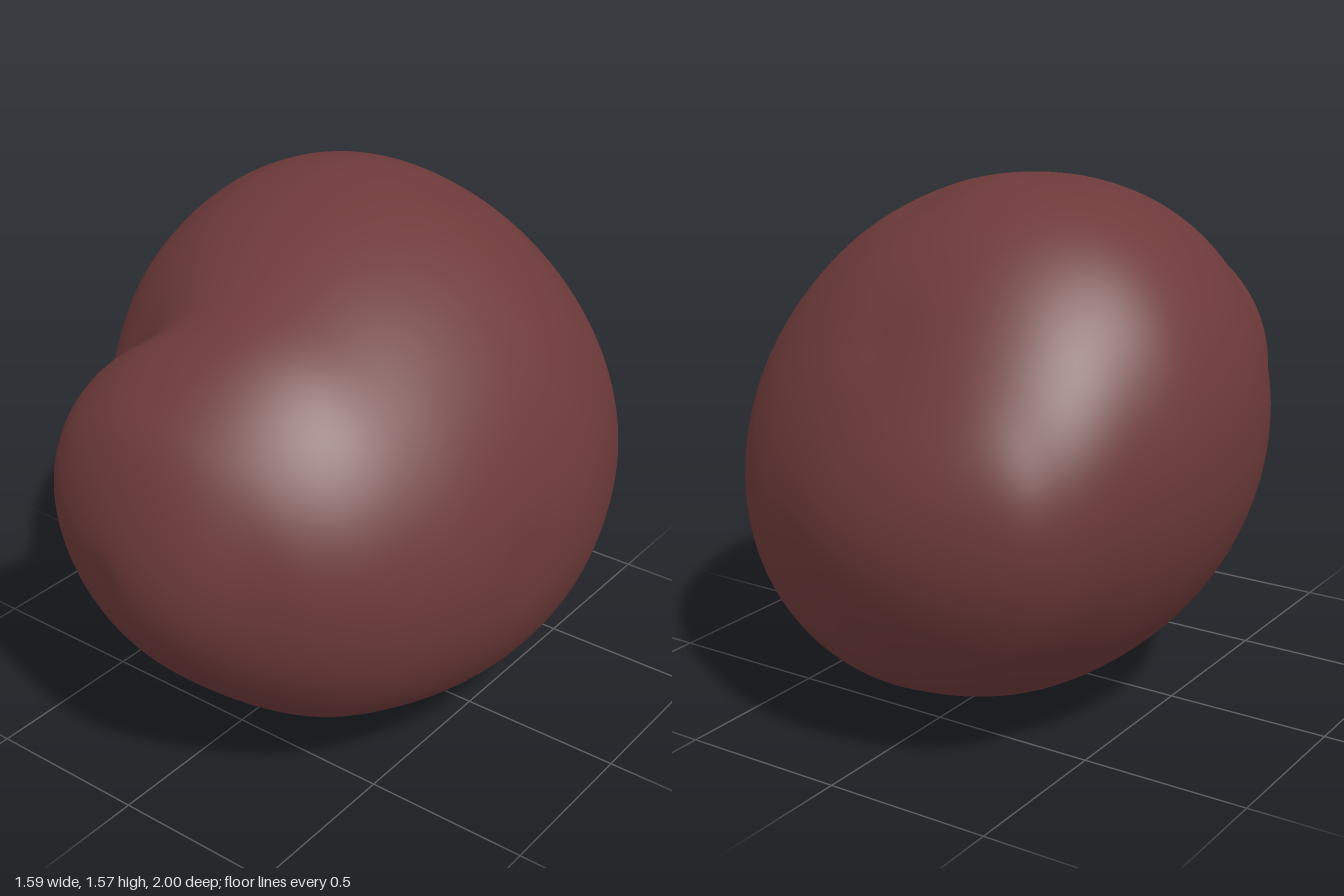
import * as THREE from 'three';
import { mergeVertices } from 'three/addons/utils/BufferGeometryUtils.js';

// Sections along z: z, centre x, centre y, fullness in x, fullness in y
const SECTIONS = [
  [-1, -0.15, 0.73, 0.82, 0.69],
  [-0.9, -0.15, 0.725, 0.85, 0.71],
  [-0.8, -0.10, 0.727, 0.865, 0.77],
  [-0.6, -0.05, 0.77, 0.84, 0.80],
  [-0.4, -0.03, 0.787, 0.82, 0.81],
  [-0.2, -0.01, 0.79, 0.803, 0.796],
  [0, 0.01, 0.783, 0.78, 0.773],
  [0.2, 0.04, 0.78, 0.753, 0.745],
  [0.4, 0.08, 0.78, 0.72, 0.72],
  [0.6, 0.105, 0.785, 0.694, 0.72],
  [0.8, 0.055, 0.795, 0.758, 0.725],
  [0.9, 0.035, 0.795, 0.768, 0.74],
  [1, 0.07, 0.77, 0.77, 0.71],
];

// Shallow dimples: x, y, z, radius, depth
const DIMPLES = [
  [0.16, 1.5, -0.36, 0.11, 0.015],
  [-0.03, 1.2, -0.79, 0.13, 0.015],
  [0.78, 0.7, 0.15, 0.12, 0.012],
  [-0.07, 0.73, 0.98, 0.08, 0.01],
  [-0.48, 0.5, 0.5, 0.1, 0.01],
];

// Smooth (Hermite) lookup of one section column at z
function sample(z, col) {
  let i = 0;
  while (i < SECTIONS.length - 2 && z > SECTIONS[i + 1][0]) i++;
  const slope = (k) => {
    const a = SECTIONS[Math.max(k - 1, 0)], b = SECTIONS[Math.min(k + 1, SECTIONS.length - 1)];
    return (b[col] - a[col]) / (b[0] - a[0]);
  };
  const a = SECTIONS[i], b = SECTIONS[i + 1], d = b[0] - a[0];
  const t = (z - a[0]) / d, t2 = t * t, t3 = t2 * t;
  return (2 * t3 - 3 * t2 + 1) * a[col] + (t3 - 2 * t2 + t) * d * slope(i)
    + (3 * t2 - 2 * t3) * b[col] + (t3 - t2) * d * slope(i + 1);
}

// Moves a point of the unit sphere onto the lumpy body
function shapePoint(p) {
  const z = THREE.MathUtils.clamp(p.z, -1, 1);
  const s = Math.hypot(p.x, p.y);
  const angle = Math.atan2(p.y, p.x);
  const cx = sample(z, 1), cy = sample(z, 2);
  // Leaning ellipse: fuller at upper left and lower right
  p.set(
    cx + sample(z, 3) * s * Math.cos(angle),
    cy + sample(z, 4) * s * Math.sin(angle - 0.13),
    z,
  );

  // Curved crease behind the front lobe, steep on the lobe side
  const dz = z - 0.57;
  const crease = 0.065 * Math.exp(-(((angle - 2.5) / 0.45) ** 2))
    * Math.exp(-((dz / (dz > 0 ? 0.07 : 0.16)) ** 2));
  p.x -= crease * Math.cos(angle);
  p.y -= crease * Math.sin(angle);

  // Dimples push toward the middle
  let push = 0;
  for (const [x, y, zz, r, depth] of DIMPLES) {
    const d2 = (p.x - x) ** 2 + (p.y - y) ** 2 + (p.z - zz) ** 2;
    push += depth * Math.exp(-d2 / (r * r));
  }
  const inward = new THREE.Vector3(0, 0.78, 0).sub(p).normalize();
  return p.addScaledVector(inward, push);
}

export function createModel() {
  const group = new THREE.Group();
  group.name = 'lumpyBody';
  const skin = new THREE.MeshStandardMaterial({ color: 0x6e3a3a });
  skin.name = 'reddish brown skin';

  // Body: a sphere with its poles at front and back, reshaped by section
  let geometry = new THREE.SphereGeometry(1, 128, 96).rotateX(Math.PI / 2);
  geometry.deleteAttribute('uv');
  geometry.deleteAttribute('normal');
  geometry = mergeVertices(geometry, 1e-5);
  const pos = geometry.attributes.position;
  const p = new THREE.Vector3();
  for (let i = 0; i < pos.count; i++) {
    shapePoint(p.fromBufferAttribute(pos, i));
    pos.setXYZ(i, p.x, p.y, p.z);
  }
  geometry.computeVertexNormals();

  // Rest the body on the ground
  geometry.computeBoundingBox();
  geometry.translate(0, -geometry.boundingBox.min.y, 0);

  const body = new THREE.Mesh(geometry, skin);
  body.name = 'body';
  group.add(body);
  return group;
}
